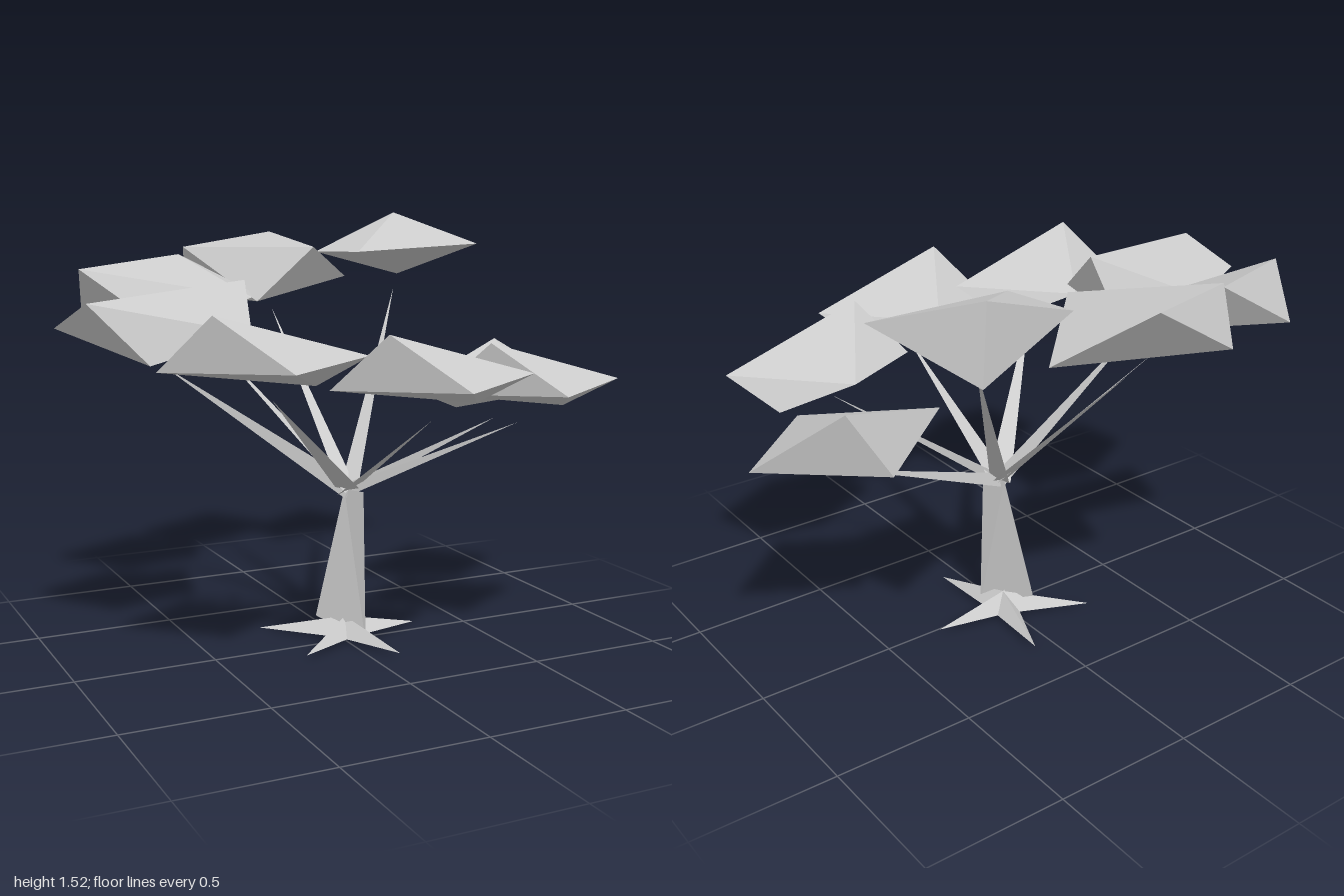
import * as THREE from 'three';
import { ConvexGeometry } from 'three/addons/geometries/ConvexGeometry.js';

const V = (p) => new THREE.Vector3(...p);
const solid = new THREE.MeshStandardMaterial({ color: 0xcccccc, flatShading: true });
const thin = new THREE.MeshStandardMaterial({ color: 0xcccccc, flatShading: true, side: THREE.DoubleSide });

export function createModel() {
  const tree = new THREE.Group();
  tree.name = 'tree';
  const add = (name, geometry, material) => {
    const mesh = new THREE.Mesh(geometry, material);
    mesh.name = name;
    tree.add(mesh);
  };
  // Flat sheet fanned from its first corner
  const sheet = (name, corners) => {
    const points = [];
    for (let i = 1; i < corners.length - 1; i++) points.push(V(corners[0]), V(corners[i]), V(corners[i + 1]));
    const geometry = new THREE.BufferGeometry().setFromPoints(points);
    geometry.computeVertexNormals();
    add(name, geometry, thin);
  };
  // Faceted clump of leaves around a few corners
  const clump = (name, corners, [dx, dy, dz] = [0, 0, 0]) =>
    add(name, new ConvexGeometry(corners.map(([x, y, z]) => V([x + dx, y + dy, z + dz]))), solid);

  // Trunk: a tapering slab set diagonally
  sheet('trunk', [[0.055, 0, 0.06], [0.06, 0.55, 0.03], [0.02, 0.55, -0.045], [-0.065, 0.07, -0.11]]);

  // Roots: low pointed ridges in a star
  const rootTips = [[0.3, -0.03], [0.085, 0.27], [-0.22, 0.15], [-0.25, -0.21], [0.085, -0.32]];
  for (const [x, z] of rootTips) {
    const cx = 0.015, cz = -0.03;
    const length = Math.hypot(x - cx, z - cz);
    const sx = -(z - cz) / length * 0.045, sz = (x - cx) / length * 0.045;
    const mx = cx + (x - cx) * 0.15, mz = cz + (z - cz) * 0.15;
    clump('root', [[x, 0.02, z], [cx, 0.08, cz], [mx + sx, 0.015, mz + sz], [mx - sx, 0.015, mz - sz]]);
  }

  // Branches: slender blades given by tip and half width at the base
  const branches = [
    [[-0.66, 1.04, -0.03], [0.015, 0.03, 0.003]],
    [[-0.46, 0.97, 0.44], [0.028, 0.008, 0.028]],
    [[0, 0.906, 0.63], [0.045, 0.015, 0]],
    [[0.45, 0.834, 0.42], [0.004, 0.025, 0.004]],
    [[0.64, 0.77, -0.03], [0.01, 0.03, 0.003]],
    [[0.455, 1.235, -0.5], [0.025, 0.01, 0.025]],
    [[0, 1.16, -0.66], [0.03, 0.005, 0]],
    [[-0.37, 1.1, -0.42], [0.025, 0.005, -0.025]],
  ];
  for (const [tip, w] of branches) {
    const base = [0.03, 0.55, -0.03];
    sheet('branch', [tip, base.map((b, i) => b + w[i]), base.map((b, i) => b - w[i])]);
  }

  // Front foliage: one clump repeated on both sides
  const frontClump = [
    [0, 1.025, 0.385], [0.337, 1.04, 0.685], [0, 1.02, 0.873],
    [-0.2, 1.19, 0.718], [-0.325, 1.01, 0.565], [0.225, 0.93, 0.52],
  ];
  clump('frontFoliage', frontClump);
  clump('frontLeftFoliage', frontClump, [0.475, -0.067, -0.195]);
  clump('frontRightFoliage', frontClump, [-0.485, 0.06, -0.195]);

  // Side foliage
  clump('leftFoliage', [
    [0.28, 0.9, -0.03], [0.733, 1.05, -0.19], [0.57, 0.79, -0.195], [0.995, 0.866, -0.03], [0.695, 0.896, 0.205],
  ]);
  clump('rightFoliage', [
    [-1, 1.17, -0.1], [-0.945, 1.262, 0.096], [-0.358, 1.313, -0.04], [-0.68, 1.165, -0.275],
    [-0.395, 1.094, -0.16], [-0.41, 1.15, 0.15], [-0.76, 1.062, 0.157],
  ]);

  // Back foliage
  clump('backRightFoliage', [
    [-0.81, 1.337, -0.487], [-0.374, 1.374, -0.674], [-0.14, 1.24, -0.55],
    [-0.22, 1.23, -0.315], [-0.56, 1.13, -0.32], [-0.77, 1.15, -0.613],
  ]);
  clump('backFoliage', [
    [-0.305, 1.22, -0.8], [0.086, 1.448, -0.882], [0.33, 1.273, -0.684],
    [0.1, 1.4, -0.48], [-0.347, 1.4, -0.7], [-0.12, 1.198, -0.514],
  ]);
  clump('backLeftFoliage', [
    [0.55, 1.524, -0.684], [0.58, 1.275, -0.707], [0.75, 1.406, -0.358],
    [0.214, 1.385, -0.326], [0.15, 1.378, -0.572],
  ]);
  return tree;
}
